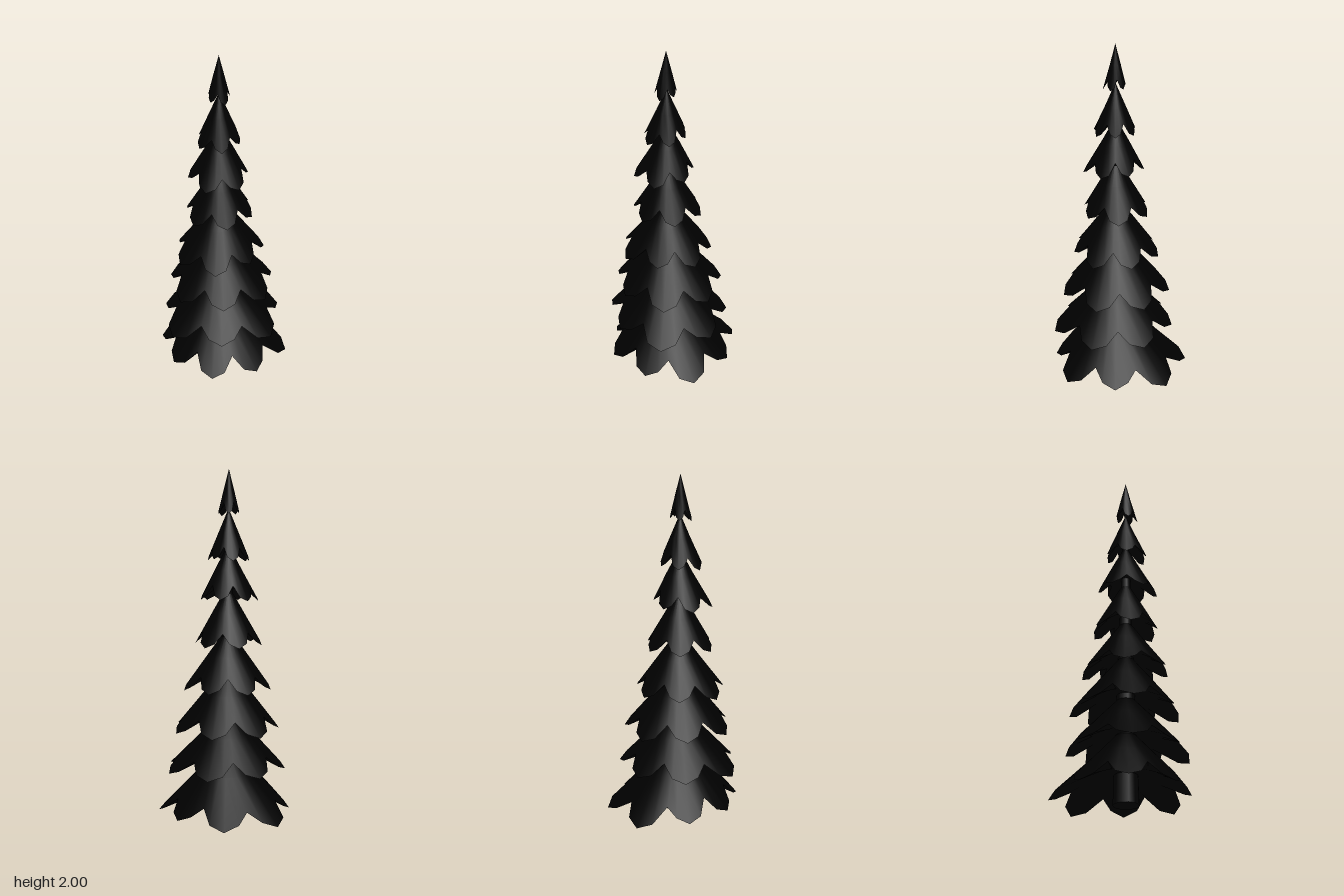
import * as THREE from 'three';
import { toCreasedNormals } from 'three/addons/utils/BufferGeometryUtils.js';

// Each tier: apex height, steepness, first lobe angle (degrees), reach of each lobe
const TIERS = [
  { apex: 0.455, slope: 1.08, phase: -80, reach: [0.418, 0.42, 0.378, 0.395, 0.355, 0.355, 0.348, 0.36] },
  { apex: 0.655, slope: 1.06, phase: 84, reach: [0.37, 0.335, 0.365, 0.335, 0.335, 0.347, 0.352] },
  { apex: 0.9, slope: 1.23, phase: 30, reach: [0.315, 0.315, 0.3, 0.31, 0.295, 0.315, 0.315] },
  { apex: 1.11, slope: 1.4, phase: -12, reach: [0.25, 0.255, 0.24, 0.265, 0.27, 0.25, 0.255] },
  { apex: 1.35, slope: 1.75, phase: 4, reach: [0.197, 0.19, 0.192, 0.2, 0.195, 0.195] },
  { apex: 1.58, slope: 1.9, phase: -20, reach: [0.15, 0.16, 0.18, 0.185, 0.175, 0.16] },
  { apex: 1.78, slope: 2.4, phase: 10, reach: [0.112, 0.122, 0.132, 0.132, 0.12, 0.117] },
  { apex: 2.0, slope: 4.0, phase: 35, reach: [0.062, 0.07, 0.065, 0.06, 0.06] },
];

// Trunk axis leans very slightly
const axisAt = (y) => [-0.01 * y, 0.024 - 0.002 * y];

// A closed skirt of drooping, blunt-pointed lobes
function tierGeometry({ apex, slope, phase, reach }) {
  const n = reach.length;
  const step = (Math.PI * 2) / n;
  const mean = reach.reduce((a, b) => a + b) / n;

  // Rim outline as angle, radius, lift: notch, shoulder, tip, shoulder per lobe
  const rim = [];
  reach.forEach((r, i) => {
    const a = THREE.MathUtils.degToRad(phase) + i * step;
    const before = reach[(i + n - 1) % n];
    const lift = (slope * (r - mean)) / 2;
    rim.push([a - step / 2, 0.385 * (r + before), 0]);
    rim.push([a - step * 0.27, r * 0.93, lift], [a, r, lift], [a + step * 0.27, r * 0.93, lift]);
  });

  const count = rim.length;
  const pos = [];
  const index = [];
  const top = (r) => apex - slope * r;
  const addRing = (radius, height) => {
    for (const [a] of rim) pos.push(Math.cos(a) * radius, height, Math.sin(a) * radius);
  };
  // Rings run from the apex over the rim and back beneath to the centre
  addRing(mean * 0.02, top(mean * 0.02));
  addRing(mean * 0.45, top(mean * 0.45));
  for (const [a, r, lift] of rim) pos.push(Math.cos(a) * r, top(r) + lift, Math.sin(a) * r);
  addRing(mean * 0.55, top(mean * 0.77));
  addRing(mean * 0.02, top(mean * 0.68));
  for (let k = 0; k < 4; k++) {
    for (let j = 0; j < count; j++) {
      const a = k * count + j;
      const b = k * count + ((j + 1) % count);
      index.push(a, b, a + count, b, b + count, a + count);
    }
  }
  // Small cap closing the apex
  const cap = pos.length / 3;
  pos.push(0, apex, 0);
  for (let j = 0; j < count; j++) index.push(cap, (j + 1) % count, j);

  const geo = new THREE.BufferGeometry();
  geo.setAttribute('position', new THREE.Float32BufferAttribute(pos, 3));
  geo.setIndex(index);
  return toCreasedNormals(geo, 0.8);
}

export function createModel() {
  const tree = new THREE.Group();
  tree.name = 'coniferTree';
  const material = new THREE.MeshStandardMaterial({ color: 0x000000, side: THREE.DoubleSide });

  // Tapered trunk, leaning with the axis
  const trunkHeight = 1.7;
  const trunkGeo = new THREE.CylinderGeometry(0.015, 0.074, trunkHeight, 12, 4);
  trunkGeo.translate(0, trunkHeight / 2, 0);
  const p = trunkGeo.attributes.position;
  for (let i = 0; i < p.count; i++) {
    const [x, z] = axisAt(p.getY(i));
    p.setX(i, p.getX(i) + x);
    p.setZ(i, p.getZ(i) + z);
  }
  const trunk = new THREE.Mesh(trunkGeo, material);
  trunk.name = 'trunk';
  tree.add(trunk);

  // Branch tiers, bottom to top
  TIERS.forEach((tier, i) => {
    const mesh = new THREE.Mesh(tierGeometry(tier), material);
    const [x, z] = axisAt(tier.apex);
    mesh.position.set(x, 0, z);
    mesh.name = `branchTier${i + 1}`;
    tree.add(mesh);
  });
  return tree;
}
